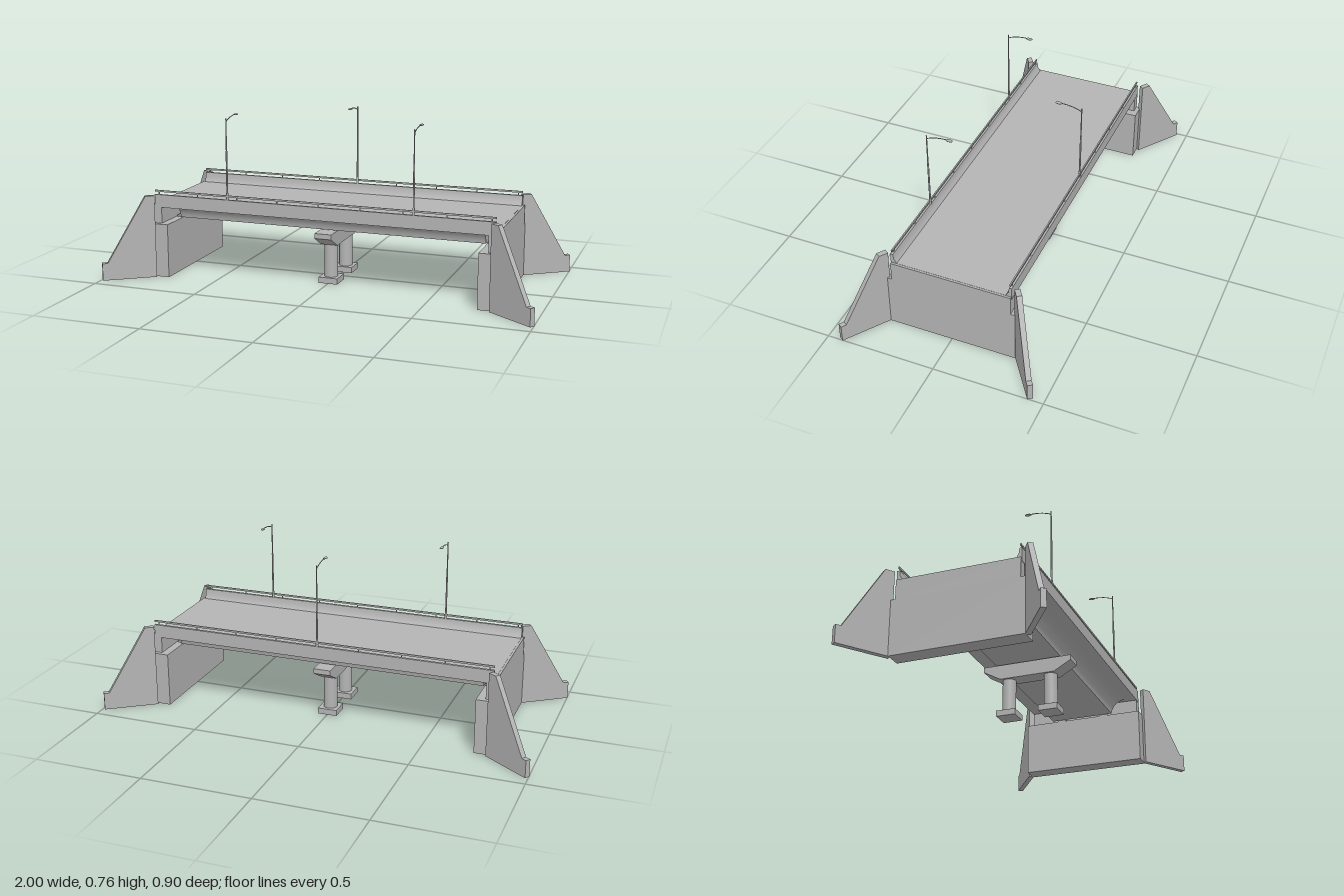
import * as THREE from 'three';
import { toCreasedNormals } from 'three/addons/utils/BufferGeometryUtils.js';

const concrete = new THREE.MeshStandardMaterial({ color: 0xb4b4b4 });
concrete.name = 'concrete grey';

export function createModel() {
  const model = new THREE.Group();
  model.name = 'roadBridge';

  const add = (name, geometry, x = 0, y = 0, z = 0, parent = model) => {
    const mesh = new THREE.Mesh(geometry, concrete);
    mesh.name = name;
    mesh.position.set(x, y, z);
    parent.add(mesh);
    return mesh;
  };
  // Box given by its bottom and top heights
  const block = (name, w, y0, y1, d, x = 0, z = 0) =>
    add(name, new THREE.BoxGeometry(w, y1 - y0, d), x, (y0 + y1) / 2, z);
  // Half profile of [z, y] points, mirrored and extruded along x
  const beam = (name, half, length) => {
    const pts = half.map(([z, y]) => new THREE.Vector2(z, y));
    const mirror = pts.map(p => new THREE.Vector2(-p.x, p.y)).reverse();
    const g = new THREE.ExtrudeGeometry(new THREE.Shape([...pts, ...mirror]), { depth: length, bevelEnabled: false });
    g.translate(0, 0, -length / 2);
    g.rotateY(Math.PI / 2);
    return add(name, toCreasedNormals(g, 0.5));
  };

  // Road deck with sloped safety barriers in one section
  beam('deckAndBarriers', [
    [0.277, 0.325], [0.277, 0.385], [0.265, 0.385], [0.262, 0.36], [0.25, 0.34],
  ], 1.6);

  // Box girder with concave flanks
  const flank = new THREE.QuadraticBezierCurve(
    new THREE.Vector2(0.155, 0.256), new THREE.Vector2(0.165, 0.32), new THREE.Vector2(0.25, 0.326));
  beam('boxGirder', flank.getPoints(12).map(p => [p.x, p.y]), 1.46);

  // Handrails on the barriers
  for (const s of [-1, 1]) {
    block('handrail', 1.6, 0.397, 0.405, 0.006, 0, s * 0.27);
    for (let i = 0; i <= 8; i++) block('railPost', 0.004, 0.384, 0.4, 0.004, -0.78 + i * 0.195, s * 0.27);
  }

  // Abutments with back wall, bearings and splayed wing walls
  const wing = new THREE.Shape([
    [0, 0], [0.247, 0], [0.247, 0.08], [0.222, 0.08], [0.042, 0.385], [0, 0.385],
  ].map(p => new THREE.Vector2(...p)));
  const wingGeo = new THREE.ExtrudeGeometry(wing, { depth: 0.024, bevelEnabled: false });
  wingGeo.translate(0, 0, -0.012);
  for (const sx of [-1, 1]) {
    block('abutment', 0.08, 0, 0.25, 0.59, sx * 0.77);
    block('backWall', 0.042, 0.25, 0.339, 0.55, sx * 0.789);
    for (const sz of [-1, 1]) {
      block('abutmentBearing', 0.03, 0.25, 0.258, 0.04, sx * 0.747, sz * 0.11);
      const w = add('wingWall', wingGeo, sx * 0.792, 0, sz * 0.298);
      w.rotation.y = Math.atan2(-sz * 0.14, sx * 0.201);
    }
  }

  // Central pier
  const cap = new THREE.Shape([
    [0.13, 0.18], [0.21, 0.225], [0.21, 0.248], [-0.21, 0.248], [-0.21, 0.225], [-0.13, 0.18],
  ].map(p => new THREE.Vector2(...p)));
  const capGeo = new THREE.ExtrudeGeometry(cap, { depth: 0.08, bevelEnabled: false });
  capGeo.translate(0, 0, -0.04);
  capGeo.rotateY(Math.PI / 2);
  add('pierCap', capGeo);
  for (const s of [-1, 1]) {
    block('footing', 0.09, 0, 0.027, 0.09, 0, s * 0.1);
    add('pierColumn', new THREE.CylinderGeometry(0.031, 0.031, 0.16, 24), 0, 0.105, s * 0.1);
    block('pierBearing', 0.045, 0.248, 0.258, 0.045, 0, s * 0.1);
  }

  // Street lamps, arm reaching over the road along local +z
  const arm = new THREE.QuadraticBezierCurve3(
    new THREE.Vector3(0, 0.74, 0), new THREE.Vector3(0, 0.761, 0.04), new THREE.Vector3(0, 0.76, 0.1));
  const addLamp = (x, z) => {
    const lamp = new THREE.Group();
    lamp.name = 'streetLamp';
    lamp.position.set(x, 0, z);
    if (z > 0) lamp.rotation.y = Math.PI;
    model.add(lamp);
    add('lampBase', new THREE.CylinderGeometry(0.005, 0.006, 0.032, 12), 0, 0.4, 0, lamp);
    add('lowerPole', new THREE.CylinderGeometry(0.004, 0.004, 0.2, 12), 0, 0.508, 0, lamp);
    add('upperPole', new THREE.CylinderGeometry(0.0025, 0.003, 0.15, 12), 0, 0.681, 0, lamp);
    add('lampArm', new THREE.TubeGeometry(arm, 12, 0.002, 8), 0, 0, 0, lamp);
    const head = new THREE.SphereGeometry(1, 16, 10);
    head.scale(0.009, 0.004, 0.016);
    add('lampHead', head, 0, 0.759, 0.107, lamp);
  };
  addLamp(-0.437, 0.268);
  addLamp(0.437, 0.268);
  addLamp(0, -0.268);

  return model;
}
